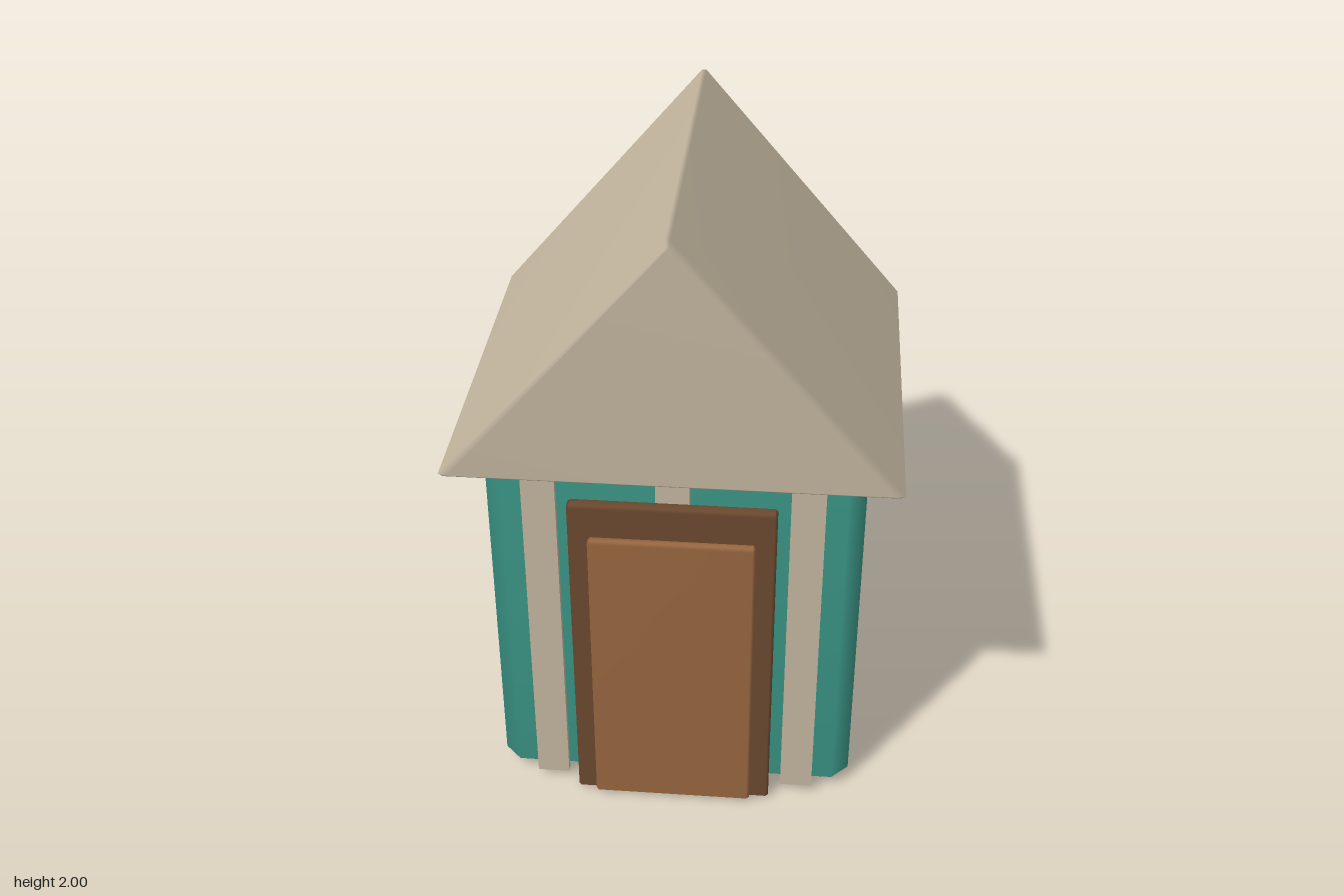
import * as THREE from 'three';
import { mergeVertices } from 'three/addons/utils/BufferGeometryUtils.js';
import { ConvexGeometry } from 'three/addons/geometries/ConvexGeometry.js';

const material = (name, color) => {
  const m = new THREE.MeshStandardMaterial({ color });
  m.name = name;
  return m;
};

// Convex solid whose large faces stay flat while the bevels shade smoothly
function softHull(points) {
  let geo = new ConvexGeometry(points);
  geo.deleteAttribute('normal');
  geo = mergeVertices(geo, 1e-4);
  geo.computeVertexNormals();
  return geo;
}

// Box with a single chamfer c on every edge
function chamferBox(w, h, d, c) {
  const points = [];
  const half = [w / 2, h / 2, d / 2];
  for (const sx of [-1, 1]) for (const sy of [-1, 1]) for (const sz of [-1, 1]) {
    for (let axis = 0; axis < 3; axis++) {
      const [x, y, z] = half.map((v, i) => (i === axis ? v : v - c));
      points.push(new THREE.Vector3(sx * x, sy * y, sz * z));
    }
  }
  return softHull(points);
}

// Triangular prism with finely bevelled edges
function roofGeometry() {
  const points = [];
  for (const sz of [-1, 1]) for (const sx of [-1, 1]) {
    const add = (x, y, z) => points.push(new THREE.Vector3(sx * x, y, sz * z));
    add(0.645, 1.232, 0.6);
    add(0.658, 1.24, 0.6);
    add(0.007, 2, 0.6);
    add(0.63, 1.243, 0.612);
    add(0.004, 1.982, 0.612);
  }
  return softHull(points);
}

export function createModel() {
  const group = new THREE.Group();
  const teal = material('teal wall', 0x3a9485);
  const beige = material('beige wood', 0xc3b69f);
  const darkBrown = material('dark brown wood', 0x6b492f);
  const brown = material('brown wood', 0x986740);

  const add = (name, geo, mat, x = 0, y = 0, z = 0) => {
    const mesh = new THREE.Mesh(geo, mat);
    mesh.name = name;
    mesh.position.set(x, y, z);
    group.add(mesh);
  };

  // Walls and gable roof
  add('walls', chamferBox(1.116, 1.23, 1, 0.052), teal, 0, 0.618, 0);
  add('roof', roofGeometry(), beige);

  // Upright planks on the front wall
  for (const x of [-0.392, 0, 0.392]) {
    add('plank', new THREE.BoxGeometry(0.1, 1.17, 0.022), beige, x, 0.618, 0.512);
  }

  // Door frame and door
  add('doorFrame', chamferBox(0.61, 1.115, 0.045, 0.008), darkBrown, 0, 0.563, 0.5385);
  add('door', chamferBox(0.49, 1.0, 0.035, 0.008), brown, 0, 0.514, 0.569);

  return group;
}
